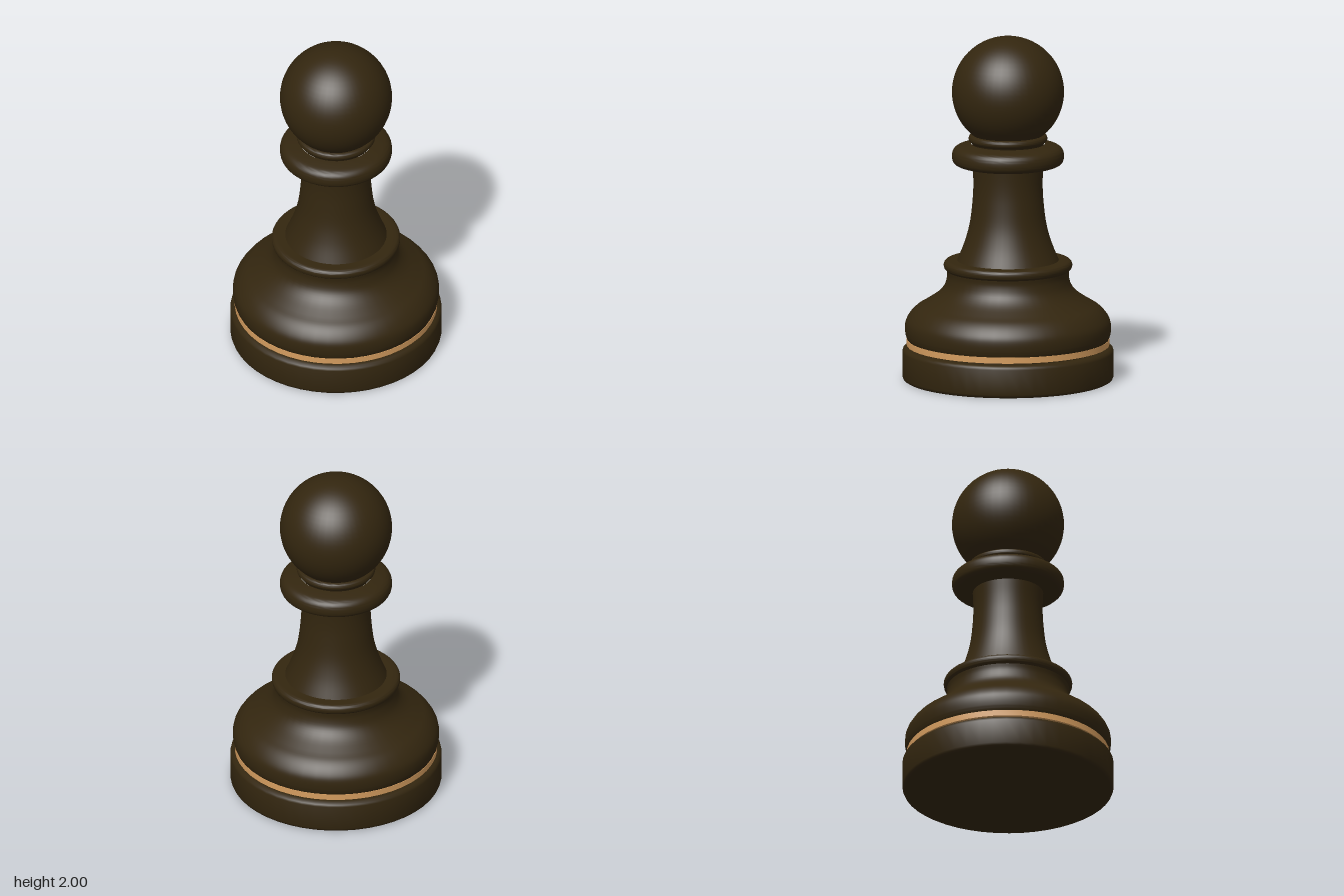
import * as THREE from 'three';
import { toCreasedNormals } from 'three/addons/utils/BufferGeometryUtils.js';

const darkWood = new THREE.MeshStandardMaterial({ name: 'darkWood', color: 0x33260f });
const paleBand = new THREE.MeshStandardMaterial({ name: 'paleBand', color: 0xd59d5f });

// Turned part from [radius, height] points; optional spline smoothing
function turned(name, points, material = darkWood, samples = 0) {
  let profile = points.map(([r, y]) => new THREE.Vector2(r, y));
  if (samples) profile = new THREE.SplineCurve(profile).getPoints(samples);
  const geometry = toCreasedNormals(new THREE.LatheGeometry(profile, 48), 0.7);
  const mesh = new THREE.Mesh(geometry, material);
  mesh.name = name;
  return mesh;
}

export function createModel() {
  const pawn = new THREE.Group();
  pawn.name = 'pawn';

  // Foot disc with softened rims, and the recessed step above it
  pawn.add(turned('base', [
    [0, 0], [0.592, 0], [0.602, 0.006], [0.607, 0.02], [0.607, 0.165],
    [0.603, 0.177], [0.592, 0.186], [0.575, 0.19], [0.56, 0.191], [0.56, 0.205],
  ]));

  // Pale inlaid band
  pawn.add(turned('band', [
    [0.55, 0.2], [0.582, 0.2], [0.582, 0.235], [0.55, 0.235],
  ], paleBand));

  // Swelling bell body
  pawn.add(turned('bellUnderside', [[0.5, 0.235], [0.579, 0.235]]));
  pawn.add(turned('bell', [
    [0.579, 0.235], [0.588, 0.26], [0.592, 0.305], [0.585, 0.345], [0.56, 0.386],
    [0.525, 0.42], [0.476, 0.45], [0.407, 0.497], [0.366, 0.545], [0.35, 0.6],
    [0.352, 0.637],
  ], darkWood, 40));

  // Rounded rim at the foot of the stem
  pawn.add(turned('lowerRing', [
    [0.352, 0.637], [0.364, 0.648], [0.369, 0.664], [0.367, 0.68], [0.356, 0.692],
    [0.335, 0.696], [0.28, 0.696],
  ], darkWood, 24));

  // Tapered stem
  pawn.add(turned('stem', [
    [0.294, 0.69], [0.25, 0.8], [0.219, 0.915], [0.203, 1.05], [0.199, 1.15],
    [0.203, 1.25],
  ], darkWood, 24));

  // Broad collar
  pawn.add(turned('collar', [
    [0.19, 1.243], [0.25, 1.245], [0.297, 1.256], [0.317, 1.275], [0.322, 1.305],
    [0.316, 1.335], [0.294, 1.357], [0.25, 1.369], [0.212, 1.376],
  ], darkWood, 32));

  // Thin ring under the head
  pawn.add(turned('upperRing', [
    [0.205, 1.37], [0.212, 1.383], [0.224, 1.395], [0.226, 1.41], [0.218, 1.424],
    [0.19, 1.43],
  ], darkWood, 16));

  // Ball head
  const head = new THREE.Mesh(new THREE.SphereGeometry(0.322, 48, 32), darkWood);
  head.name = 'head';
  head.position.y = 1.678;
  pawn.add(head);

  return pawn;
}
